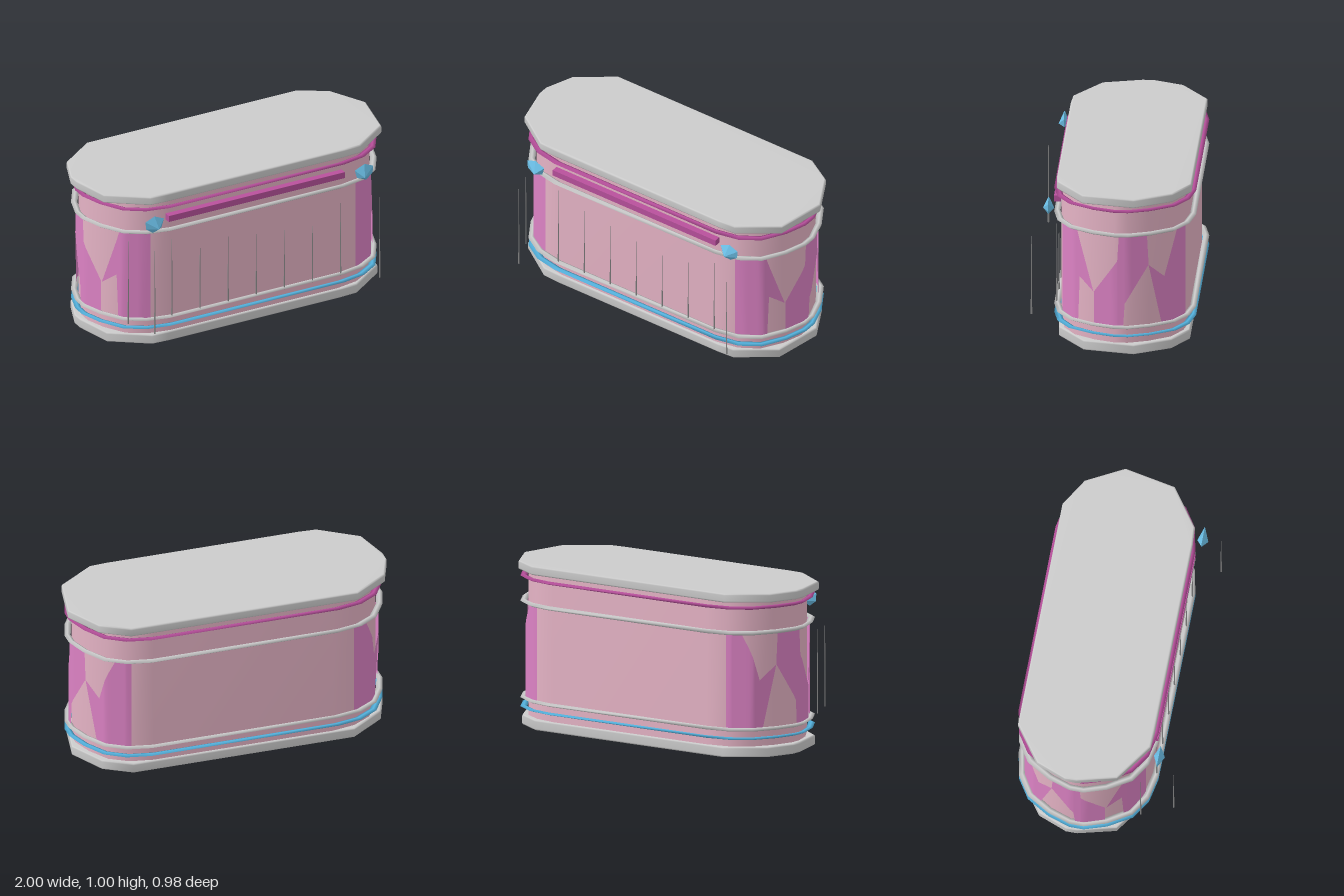
import * as THREE from 'three';
import { mergeVertices } from 'three/addons/utils/BufferGeometryUtils.js';
import { ConvexGeometry } from 'three/addons/geometries/ConvexGeometry.js';

const CZ = -0.063; // middle of the counter in z

const material = (color, side = THREE.FrontSide, flatShading = false) =>
  new THREE.MeshStandardMaterial({ color, side, flatShading });

// Quarter of the unit plan, from the end (x = 1) round to the long front edge
const QUARTER = [[1, 0.1], [0.955, 0.42], [0.87, 0.75], [0.75, 0.93], [0.6, 1]];
const PLAN = [
  ...QUARTER,
  ...QUARTER.map(([x, z]) => [-x, z]).reverse(),
  ...QUARTER.map(([x, z]) => [-x, -z]),
  ...QUARTER.map(([x, z]) => [x, -z]).reverse(),
];

// Skin through rows of [half length, half depth, y]
function loft(rows, closed = false) {
  const n = PLAN.length, pos = [], index = [];
  for (const [a, b, y] of rows) for (const [x, z] of PLAN) pos.push(x * a, y, z * b + CZ);
  const count = closed ? rows.length : rows.length - 1;
  for (let r = 0; r < count; r++) {
    const s = (r + 1) % rows.length;
    for (let i = 0; i < n; i++) {
      const j = (i + 1) % n;
      index.push(r * n + i, s * n + i, r * n + j, r * n + j, s * n + i, s * n + j);
    }
  }
  const g = new THREE.BufferGeometry();
  g.setAttribute('position', new THREE.Float32BufferAttribute(pos, 3));
  g.setIndex(index);
  g.computeVertexNormals();
  return g;
}

// Softly shaded slab with slightly rounded rims
function slab(points, y0, y1) {
  const bevel = 0.01;
  const shape = new THREE.Shape(points.map(([x, z]) => new THREE.Vector2(x, -z)));
  let g = new THREE.ExtrudeGeometry(shape, {
    depth: y1 - y0 - 2 * bevel, bevelSize: bevel, bevelThickness: bevel, bevelOffset: -bevel, bevelSegments: 2,
  });
  g.rotateX(-Math.PI / 2).translate(0, y0 + bevel, 0);
  g.deleteAttribute('normal');
  g.deleteAttribute('uv');
  g = mergeVertices(g, 1e-4);
  g.computeVertexNormals();
  return g;
}

// x of the end panels' curved plan at a given z
function endX(z) {
  const v = Math.abs(z - CZ) / 0.39;
  if (v <= 0.1) return 0.96;
  for (let i = 1; i < QUARTER.length; i++) {
    const [x0, z0] = QUARTER[i - 1], [x1, z1] = QUARTER[i];
    if (v <= z1) return 0.96 * (x0 + (x1 - x0) * (v - z0) / (z1 - z0));
  }
  return 0.576;
}

// Jagged panel wrapped on an end, from columns of [z, low y, high y]
function panel(columns, side) {
  const pos = [], index = [], steps = 6;
  for (let c = 0; c < columns.length - 1; c++) {
    for (let k = c ? 1 : 0; k <= steps; k++) {
      const [z, lo, hi] = columns[c].map((v, i) => THREE.MathUtils.lerp(v, columns[c + 1][i], k / steps));
      pos.push(side * endX(z), lo, z, side * endX(z), hi, z);
    }
  }
  for (let i = 0; i < pos.length / 3 - 2; i += 2) {
    if (side > 0) index.push(i, i + 2, i + 1, i + 1, i + 2, i + 3);
    else index.push(i, i + 1, i + 2, i + 1, i + 3, i + 2);
  }
  const g = new THREE.BufferGeometry();
  g.setAttribute('position', new THREE.Float32BufferAttribute(pos, 3));
  g.setIndex(index);
  g.computeVertexNormals();
  return g;
}

export function createModel() {
  const model = new THREE.Group();
  const add = (name, geometry, mat) => {
    const mesh = new THREE.Mesh(geometry, mat);
    mesh.name = name;
    model.add(mesh);
    return mesh;
  };
  const grey = material(0xcccccc);
  const steel = material(0x8c8c8c);
  const pink = material(0xb8509c);
  const blue = material(0x55b4e0);

  // Counter top and base
  const topPlan = [
    [0.6, 0.342], [0.71, 0.335], [0.94, 0.17], [1, -0.14], [0.88, -0.365], [0.71, -0.468],
    [-0.71, -0.468], [-0.93, -0.31], [-1, -0.13], [-1, -0.06], [-0.94, 0.175], [-0.71, 0.335], [-0.6, 0.342],
  ];
  add('counterTop', slab(topPlan, 0.943, 0.998), grey);
  add('base', slab(topPlan.map(([x, z]) => [x * 0.975, (z - CZ) * 0.975 + CZ]), 0, 0.063), grey);

  // Body wall
  add('body', loft([[0.94, 0.382, 0.05], [0.94, 0.382, 0.945]]), material(0xe6b4c6, THREE.DoubleSide));

  // Rails round the body
  const rail = (name, y, h, mat) => add(name, loft([
    [0.965, 0.405, y - h], [0.982, 0.424, y], [0.965, 0.405, y + h], [0.945, 0.387, y],
  ], true), mat);
  rail('upperPinkRail', 0.91, 0.01, pink);
  rail('upperGreyRail', 0.757, 0.013, grey);
  rail('lowerGreyRail', 0.17, 0.011, grey);
  rail('lowerBlueRail', 0.116, 0.008, blue);

  // Jagged coloured panels on both ends
  const lo = 0.165, hi = 0.755;
  const panels = {
    frontPanel: [[0.305, lo, hi], [0.21, lo, hi], [0.2, lo, 0.72], [0.19, 0.45, 0.68], [0.105, 0.375, 0.376]],
    middlePanel: [[0.1, lo, 0.38], [-0.04, lo, 0.59], [-0.05, lo, hi], [-0.075, lo, hi], [-0.085, 0.32, hi],
      [-0.215, 0.54, hi], [-0.225, 0.555, 0.56]],
    backPanel: [[-0.225, 0.554, 0.555], [-0.3, lo, 0.48], [-0.315, lo, 0.465], [-0.39, lo, hi], [-0.43, lo, hi]],
  };
  const panelMat = material(0xdc82c4, THREE.DoubleSide);
  for (const [name, columns] of Object.entries(panels)) {
    add(name + 'Left', panel(columns, 1), panelMat);
    add(name + 'Right', panel(columns, -1), panelMat);
  }

  // Light bar across the front
  add('frontBar', new THREE.BoxGeometry(1.19, 0.04, 0.04).translate(-0.005, 0.838, 0.342), pink);

  // Faceted gems beside the bar
  const gem = [[0.065, 0.868, 0.385], [0.005, 0.895, 0.387], [-0.06, 0.865, 0.385], [-0.045, 0.812, 0.385],
    [0.015, 0.787, 0.387], [0.06, 0.82, 0.385], [-0.01, 0.82, 0.42], [-0.01, 0.82, 0.353]];
  const gemMat = material(0x6cc0e8, THREE.FrontSide, true);
  for (const side of [1, -1]) {
    const points = gem.map(([x, y, z]) => new THREE.Vector3(side * (0.705 + x), y, z));
    add(side > 0 ? 'gemLeft' : 'gemRight', new ConvexGeometry(points), gemMat);
  }

  // Thin spikes along the front: [x, tip y, z]
  const spikes = [[-0.84, 0.72, 0.3], [-0.76, 0.72, 0.485], [-0.57, 0.71, 0.346], [-0.38, 0.64, 0.346],
    [-0.19, 0.61, 0.346], [0, 0.58, 0.346], [0.19, 0.56, 0.346], [0.38, 0.59, 0.346],
    [0.57, 0.67, 0.346], [0.76, 0.7, 0.485]];
  for (const [x, tip, z] of spikes) {
    const h = tip - 0.163;
    add('spike', new THREE.CylinderGeometry(0.001, 0.005, h, 4).translate(x, 0.163 + h / 2, z), steel);
  }
  return model;
}
